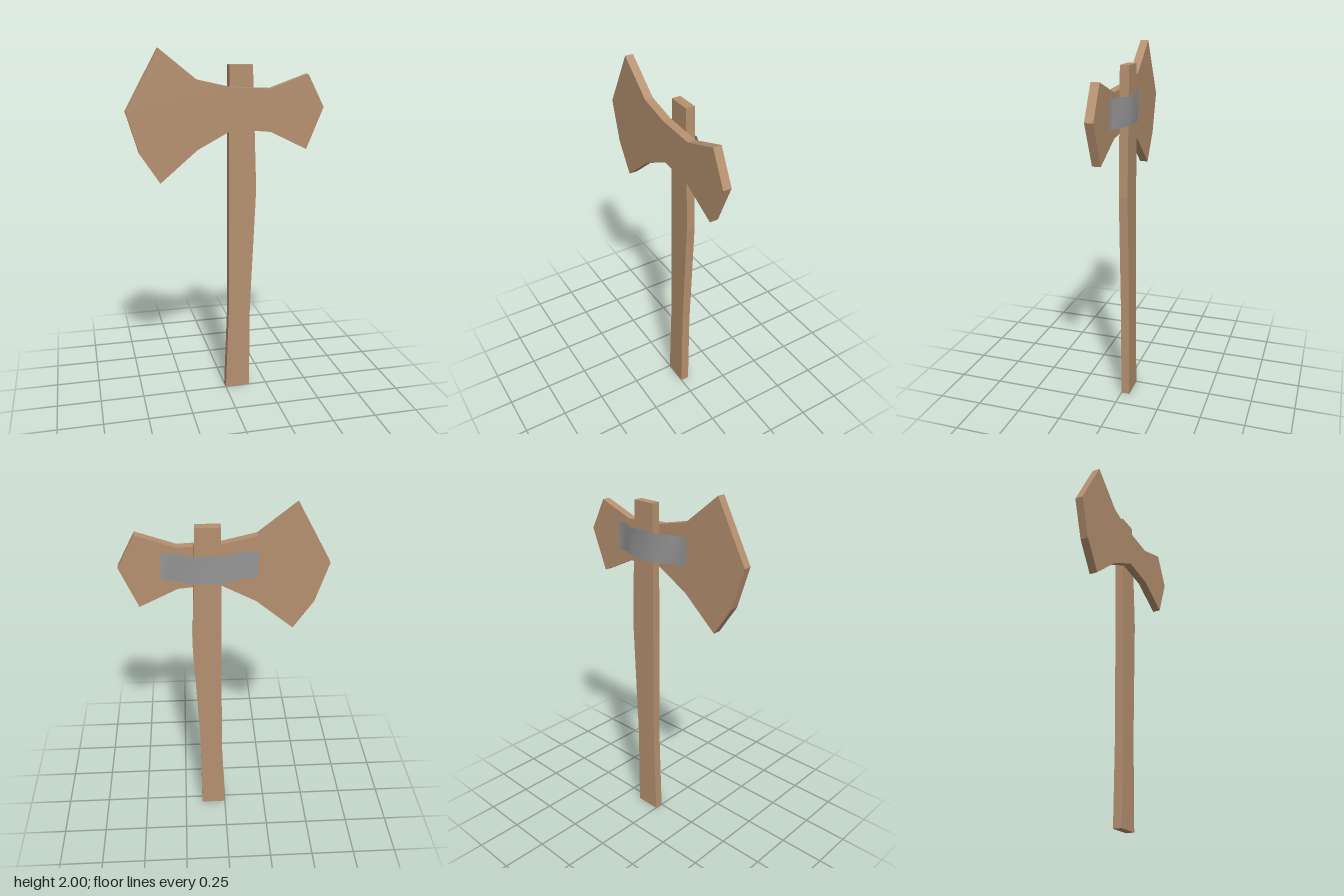
import * as THREE from 'three';

// Extrude a flat outline of [x, y] points between two depths.
function slab(name, points, zBack, zFront, material) {
  const shape = new THREE.Shape(points.map(([x, y]) => new THREE.Vector2(x, y)));
  const geometry = new THREE.ExtrudeGeometry(shape, { depth: zFront - zBack, bevelEnabled: false });
  geometry.translate(0, 0, zBack);
  const mesh = new THREE.Mesh(geometry, material);
  mesh.name = name;
  return mesh;
}

export function createModel() {
  const wood = new THREE.MeshStandardMaterial({ color: 0xb5906f });
  wood.name = 'wood';
  const metal = new THREE.MeshStandardMaterial({ color: 0x969696, side: THREE.DoubleSide });
  metal.name = 'grey strap';

  const group = new THREE.Group();
  group.name = 'axe';

  // Double-bitted head, wide blade on -x and narrow blade on +x
  group.add(slab('axeHead', [
    [-0.545, 1.68], [-0.478, 1.455], [-0.372, 1.293], [-0.167, 1.467], [0.03, 1.572],
    [0.24, 1.552], [0.447, 1.45], [0.541, 1.68], [0.447, 1.858], [0.24, 1.785],
    [0.01, 1.797], [-0.167, 1.838], [-0.367, 2.0],
  ], 0, 0.046, wood));

  // Handle behind the head, with a slight swell on one side
  group.add(slab('handle', [
    [0, 0], [0.145, 0], [0.145, 0.51], [0.175, 1.22], [0.148, 1.91], [0.018, 1.91], [0.018, 0.5],
  ], -0.049, 0, wood));

  // Strap: flat tabs on the head, bent over the back of the handle
  const path = [[-0.175, -0.002], [-0.09, -0.002], [0.0, -0.05], [0.172, -0.05], [0.272, -0.002], [0.325, -0.002]];
  const strapGeometry = new THREE.PlaneGeometry(1, 0.155, path.length - 1, 1);
  strapGeometry.rotateY(Math.PI);
  const position = strapGeometry.attributes.position;
  for (let i = 0; i < position.count; i++) {
    const [x, z] = path[path.length - 1 - (i % path.length)];
    position.setXYZ(i, x, position.getY(i) + 1.68, z);
  }
  strapGeometry.computeVertexNormals();
  const strap = new THREE.Mesh(strapGeometry, metal);
  strap.name = 'strap';
  group.add(strap);

  return group;
}
